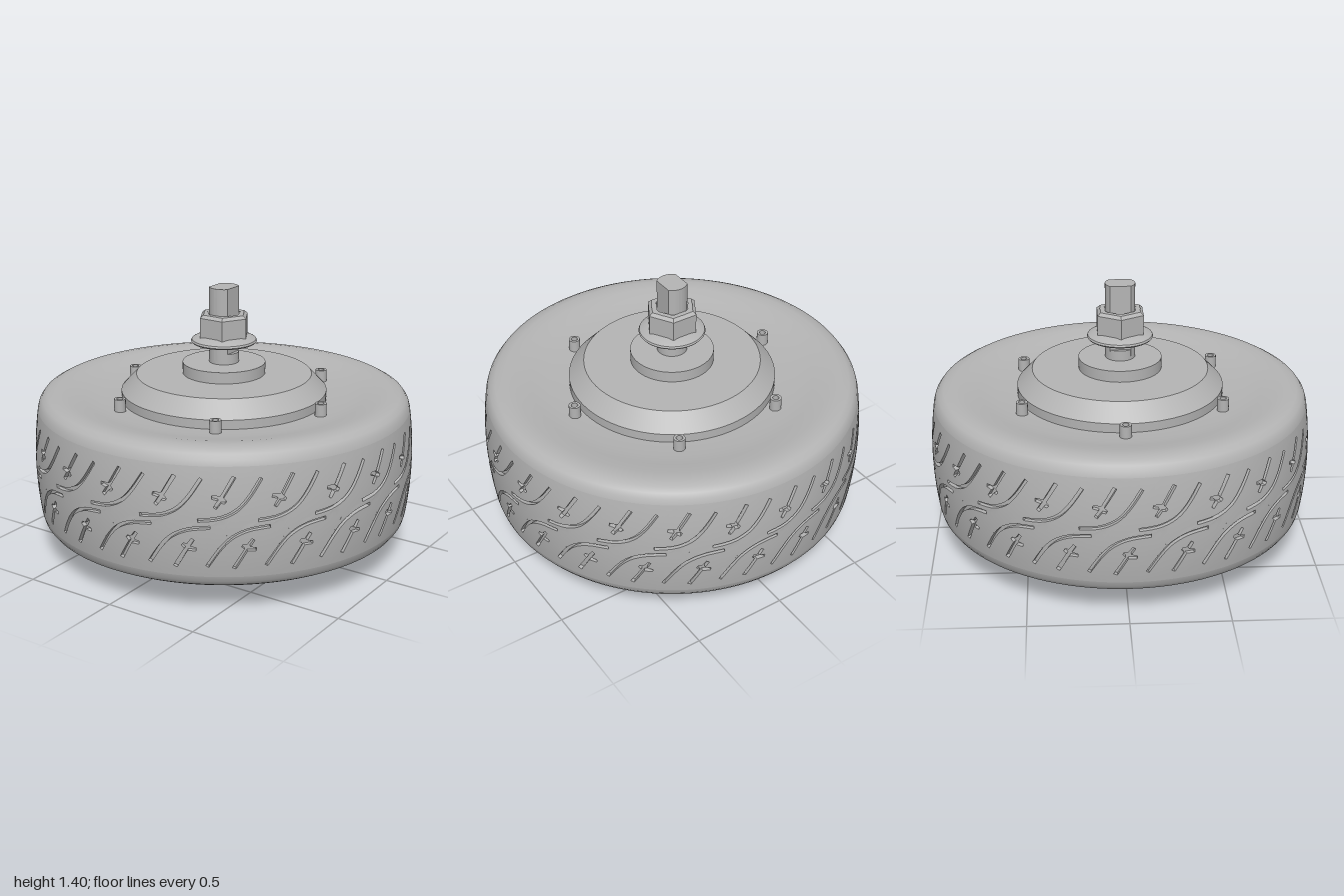
import * as THREE from 'three';
import { toCreasedNormals } from 'three/addons/utils/BufferGeometryUtils.js';

const grey = new THREE.MeshStandardMaterial({ color: 0xb4b4b4 });
grey.name = 'plain grey';

const PITCHES = 22, PITCH = (Math.PI * 2) / PITCHES, GROOVE = 0.022, MAX_EDGE = 0.04;
const V = (x, y) => new THREE.Vector2(x, y);
const toVectors = (pts) => pts.map(([x, y]) => V(x, y));
const crown = (y) => 1 - 0.28 * (y - 0.5) ** 2; // tread radius at a height

function addMesh(group, name, geometry) {
  const mesh = new THREE.Mesh(geometry, grey);
  mesh.name = name;
  group.add(mesh);
  return mesh;
}

// Profile runs from bottom to top along the outside
const lathe = (pts, sides = 64, phi = 0) =>
  toCreasedNormals(new THREE.LatheGeometry(toVectors(pts), sides, phi), 0.55);

// Split a closed outline into short edges
function densify(pts) {
  return pts.flatMap((p, i) => {
    const q = pts[(i + 1) % pts.length];
    const n = Math.ceil(p.distanceTo(q) / (MAX_EDGE * 0.9));
    return Array.from({ length: n }, (_, k) => p.clone().lerp(q, k / n));
  });
}

// Outline of a curved stroke of constant width
function stroke(pts, width) {
  const curve = new THREE.SplineCurve(toVectors(pts));
  const left = [], right = [];
  for (let i = 0; i <= 14; i++) {
    const p = curve.getPoint(i / 14), t = curve.getTangent(i / 14);
    const n = V(-t.y, t.x).multiplyScalar(width / 2);
    left.push(p.clone().add(n));
    right.push(p.clone().sub(n));
  }
  return [...right, ...left.reverse()];
}

// Halve long edges until the triangle can follow the round tread
function subdivide(a, b, c, out) {
  const ab = a.distanceTo(b), bc = b.distanceTo(c), ca = c.distanceTo(a);
  const longest = Math.max(ab, bc, ca);
  if (longest <= MAX_EDGE) { out.push([a, b, c]); return; }
  if (bc === longest) [a, b, c] = [b, c, a];
  else if (ca === longest) [a, b, c] = [c, a, b];
  const m = a.clone().add(b).multiplyScalar(0.5);
  subdivide(a, m, c, out);
  subdivide(m, b, c, out);
}

function fill(contour, holes) {
  const all = [...contour, ...holes.flat()], out = [];
  for (const [i, j, k] of THREE.ShapeUtils.triangulateShape(contour, holes)) {
    const a = all[i], b = all[j], c = all[k];
    const cross = (b.x - a.x) * (c.y - a.y) - (b.y - a.y) * (c.x - a.x);
    if (cross >= 0) subdivide(a, b, c, out);
    else subdivide(a, c, b, out);
  }
  return out;
}

// One tread pitch in (angle, height), cut by four grooves, repeated round the tyre
function treadGeometry() {
  const turn = (p) => V(0.144 - p.x, 1 - p.y);
  const shift = (p) => V(p.x + PITCH, p.y);
  const upper = toVectors([[0.15, 0.56], [0.195, 0.63], [0.27, 0.72], [0.30, 0.78]]);
  const seam = [...upper.map(turn).reverse(), V(0.072, 0.5), ...upper];
  const contour = [...seam.map(shift), ...seam.slice().reverse()];

  const arc = stroke([[-0.1, 0.517], [0, 0.53], [0.08, 0.567], [0.14, 0.63], [0.2, 0.722]], 0.017);
  const fork = densify(toVectors([
    [0.062, 0.735], [0.08, 0.727], [0.022, 0.63], [0.037, 0.615], [0.028, 0.603], [0.01, 0.605],
    [-0.012, 0.575], [-0.026, 0.585], [-0.005, 0.618], [-0.035, 0.625], [-0.033, 0.641], [0.008, 0.64],
  ]));
  const grooves = [arc.map(shift), fork.map(shift), arc.map(turn), fork.map(turn)]
    .map((g) => (THREE.ShapeUtils.isClockWise(g) ? g.slice().reverse() : g));

  const pos = [];
  const push = (p, depth, offset) => {
    const r = crown(p.y) - depth, a = p.x + offset;
    pos.push(r * Math.sin(a), p.y, r * Math.cos(a));
  };
  const surface = fill(contour, grooves.map((g) => g.slice().reverse()));
  const floors = grooves.flatMap((g) => fill(g, []));
  for (let k = 0; k < PITCHES; k++) {
    const o = k * PITCH;
    surface.flat().forEach((p) => push(p, 0, o));
    floors.flat().forEach((p) => push(p, GROOVE, o));
    // groove walls
    for (const g of grooves) g.forEach((a, i) => {
      const b = g[(i + 1) % g.length];
      push(a, 0, o); push(b, 0, o); push(b, GROOVE, o);
      push(a, 0, o); push(b, GROOVE, o); push(a, GROOVE, o);
    });
  }
  const geometry = new THREE.BufferGeometry();
  geometry.setAttribute('position', new THREE.Float32BufferAttribute(pos, 3));
  return toCreasedNormals(geometry, 0.5);
}

// Round bar with two flats facing left and right
function flattedShaft(radius, half, length) {
  const a = Math.acos(half / radius);
  const shape = new THREE.Shape();
  shape.absarc(0, 0, radius, a, Math.PI - a, false);
  shape.absarc(0, 0, radius, Math.PI + a, Math.PI * 2 - a, false);
  shape.closePath();
  const g = new THREE.ExtrudeGeometry(shape, { depth: length, bevelEnabled: false, curveSegments: 16 });
  return toCreasedNormals(g.rotateX(-Math.PI / 2), 0.4);
}

export function createModel() {
  const model = new THREE.Group();
  model.name = 'hubMotorWheel';

  // Tyre: grooved tread and two sidewalls
  const tyre = new THREE.Group();
  tyre.name = 'tyre';
  model.add(tyre);
  addMesh(tyre, 'tread', treadGeometry());
  const wall = [[crown(0.78), 0.78], [0.97, 0.808], [0.953, 0.832], [0.925, 0.848], [0.88, 0.855],
    [0.82, 0.849], [0.74, 0.832], [0.65, 0.813], [0.5, 0.805]];
  const mirrored = wall.map(([r, y]) => [r, 1 - y]).reverse();
  addMesh(tyre, 'upperSidewall', lathe(wall, PITCHES * 8, 0.30));
  addMesh(tyre, 'lowerSidewall', lathe(mirrored, PITCHES * 8, 0.144 - 0.30));

  // Motor hub with chamfered covers and central bosses
  addMesh(model, 'motorHub', lathe([
    [0, 0], [0.217, 0], [0.217, 0.063], [0.46, 0.063], [0.54, 0.145],
    [0.54, 0.855], [0.46, 0.94], [0.217, 0.94], [0.217, 1], [0, 1],
  ], 96));

  // Socket bolts round both covers
  const bolt = lathe([[0.03, -0.08], [0.03, 0.02], [0.017, 0.02], [0.017, -0.015], [0, -0.015]], 16);
  for (const top of [true, false]) for (let i = 0; i < 6; i++) {
    const a = (i * Math.PI) / 3;
    const mesh = addMesh(model, top ? 'upperBolt' : 'lowerBolt', bolt);
    mesh.position.set(0.59 * Math.cos(a), top ? 0.855 : 0.145, 0.59 * Math.sin(a));
    if (!top) mesh.rotation.x = Math.PI;
  }

  // Axle
  addMesh(model, 'axleCollar', lathe([[0.078, 0.99], [0.078, 1.055], [0, 1.055]], 32));
  addMesh(model, 'axleShaft', flattedShaft(0.078, 0.057, 0.38)).position.y = 1.02;

  // Flanged hexagon nut
  addMesh(model, 'nutFlange', lathe([
    [0.08, 1.105], [0.165, 1.105], [0.172, 1.113], [0.168, 1.123], [0.125, 1.145], [0.09, 1.145],
  ], 48));
  const hex = new THREE.LatheGeometry(toVectors([
    [0.137, 1.12], [0.137, 1.245], [0.118, 1.26], [0.09, 1.26],
  ]), 6, Math.PI / 2);
  addMesh(model, 'hexNut', toCreasedNormals(hex, 0.1));
  // round bore of the nut
  addMesh(model, 'nutBore', lathe([[0.105, 1.261], [0.086, 1.261], [0.086, 1.11]], 32));

  return model;
}
